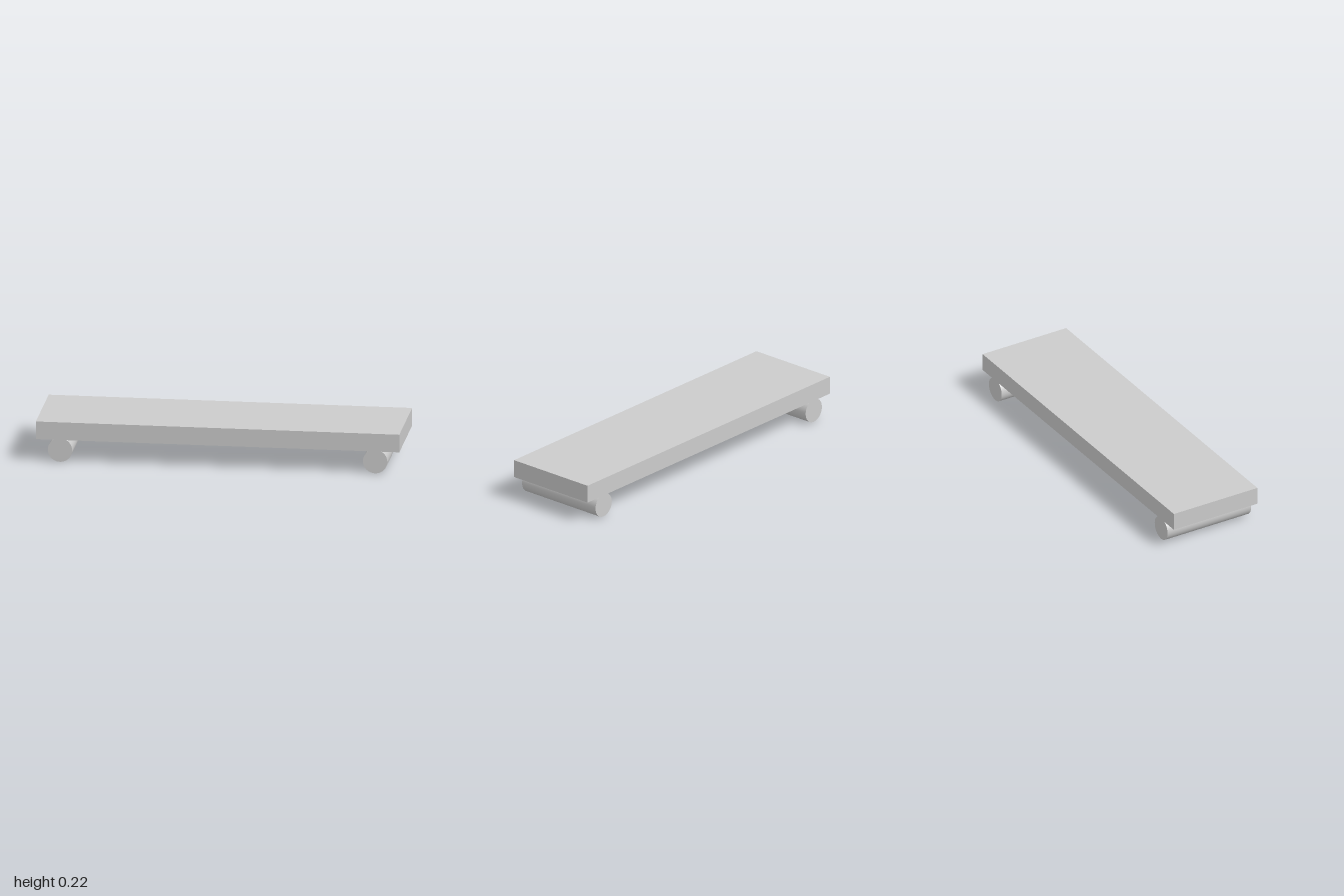
import * as THREE from 'three';

const LENGTH = 2, DEPTH = 0.534, THICKNESS = 0.1, BOTTOM = 0.124;
const ROLLER_RADIUS = 0.067, ROLLER_X = 0.867;

export function createModel() {
  const group = new THREE.Group();
  group.name = 'plankOnRollers';
  const material = new THREE.MeshStandardMaterial({ color: 0xcccccc });

  // Flat board
  const plank = new THREE.Mesh(new THREE.BoxGeometry(LENGTH, THICKNESS, DEPTH), material);
  plank.name = 'plank';
  plank.position.y = BOTTOM + THICKNESS / 2;
  group.add(plank);

  // Full-depth rollers under each end, slightly sunk into the board
  const rollerGeometry = new THREE.CylinderGeometry(ROLLER_RADIUS, ROLLER_RADIUS, DEPTH, 48);
  rollerGeometry.rotateX(Math.PI / 2);
  for (const side of [-1, 1]) {
    const roller = new THREE.Mesh(rollerGeometry, material);
    roller.name = side > 0 ? 'leftRoller' : 'rightRoller';
    roller.position.set(side * ROLLER_X, ROLLER_RADIUS, 0);
    group.add(roller);
  }
  return group;
}
